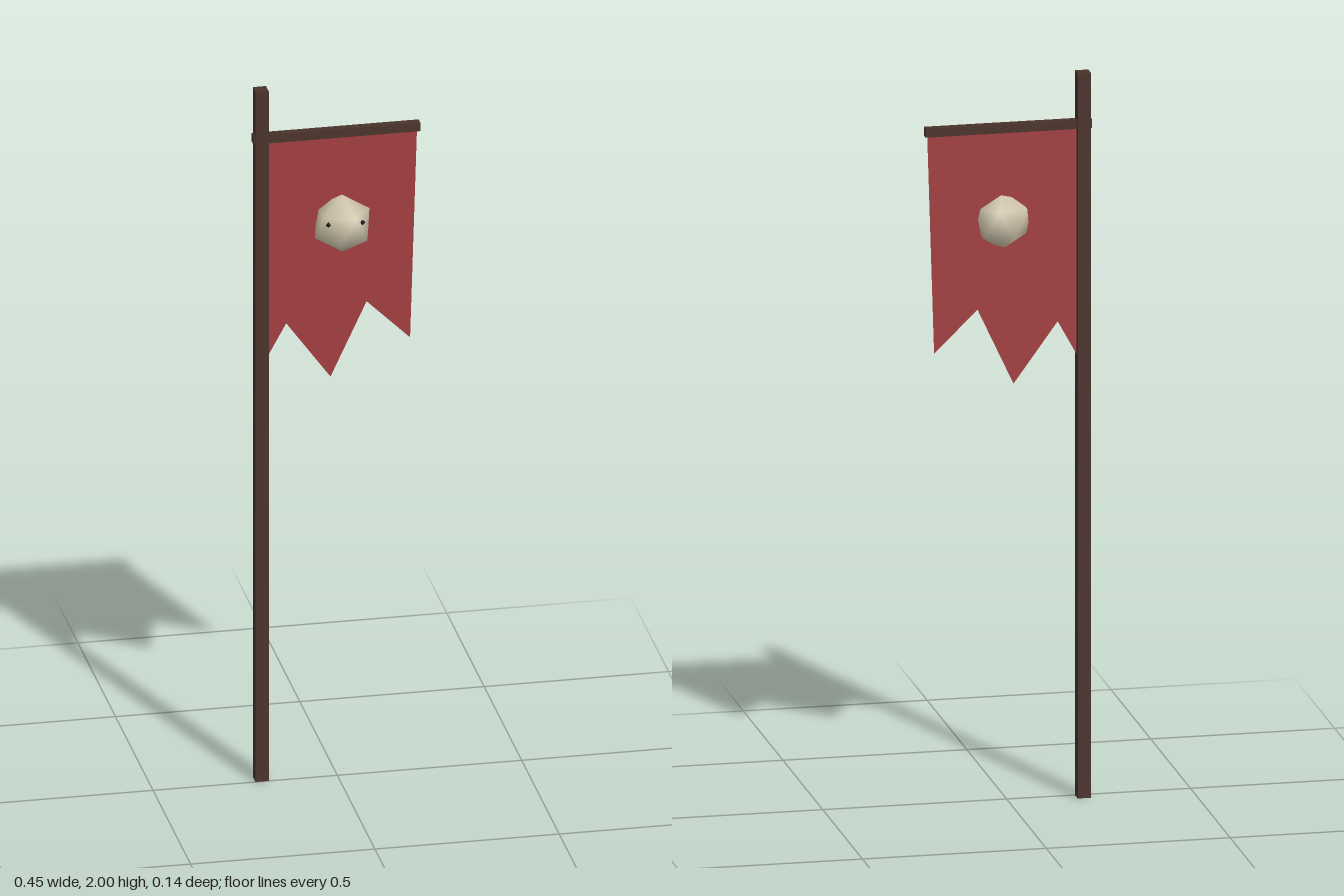
import * as THREE from 'three';
import { mergeVertices } from 'three/addons/utils/BufferGeometryUtils.js';

const Z = -0.018; // common plane of pole, crossbar and cloth

export function createModel() {
  const group = new THREE.Group();
  const material = (name, color, extra = {}) => {
    const m = new THREE.MeshStandardMaterial({ color, ...extra });
    m.name = name;
    return m;
  };
  const wood = material('dark wood', 0x4a332b);
  const red = material('red cloth', 0xa33f41, { side: THREE.DoubleSide });
  const bone = material('bone', 0xd3c8ae);
  const black = material('black', 0x1c1a18);

  const add = (name, geometry, mat, x, y, z) => {
    const mesh = new THREE.Mesh(geometry, mat);
    mesh.name = name;
    mesh.position.set(x, y, z);
    group.add(mesh);
    return mesh;
  };

  // Square pole and crossbar
  add('pole', new THREE.BoxGeometry(0.036, 2, 0.036), wood, -0.204, 1, Z);
  add('crossbar', new THREE.BoxGeometry(0.453, 0.024, 0.024), wood, 0, 1.858, Z);

  // Cloth with a ragged, pointed lower edge
  const outline = [
    [-0.204, 1.858], [-0.204, 1.19], [-0.135, 1.315], [-0.015, 1.15],
    [0.083, 1.36], [0.201, 1.245], [0.22, 1.858],
  ].map(([x, y]) => new THREE.Vector2(x, y));
  add('banner', new THREE.ShapeGeometry(new THREE.Shape(outline)), red, 0, 0, Z);

  // Faceted emblem with smooth shading, one corner straight up
  let ball = new THREE.IcosahedronGeometry(0.083, 0);
  ball.deleteAttribute('normal');
  ball.deleteAttribute('uv');
  ball = mergeVertices(ball, 1e-4);
  ball.rotateZ(-Math.atan(2 / (1 + Math.sqrt(5))));
  ball.computeVertexNormals();
  add('emblem', ball, bone, 0.013, 1.6, -0.001);

  // Tiny eyes just breaking the emblem's surface
  for (const side of [-1, 1]) {
    add('eye', new THREE.OctahedronGeometry(0.008), black, 0.012 + side * 0.046, 1.62, 0.05);
  }
  return group;
}
